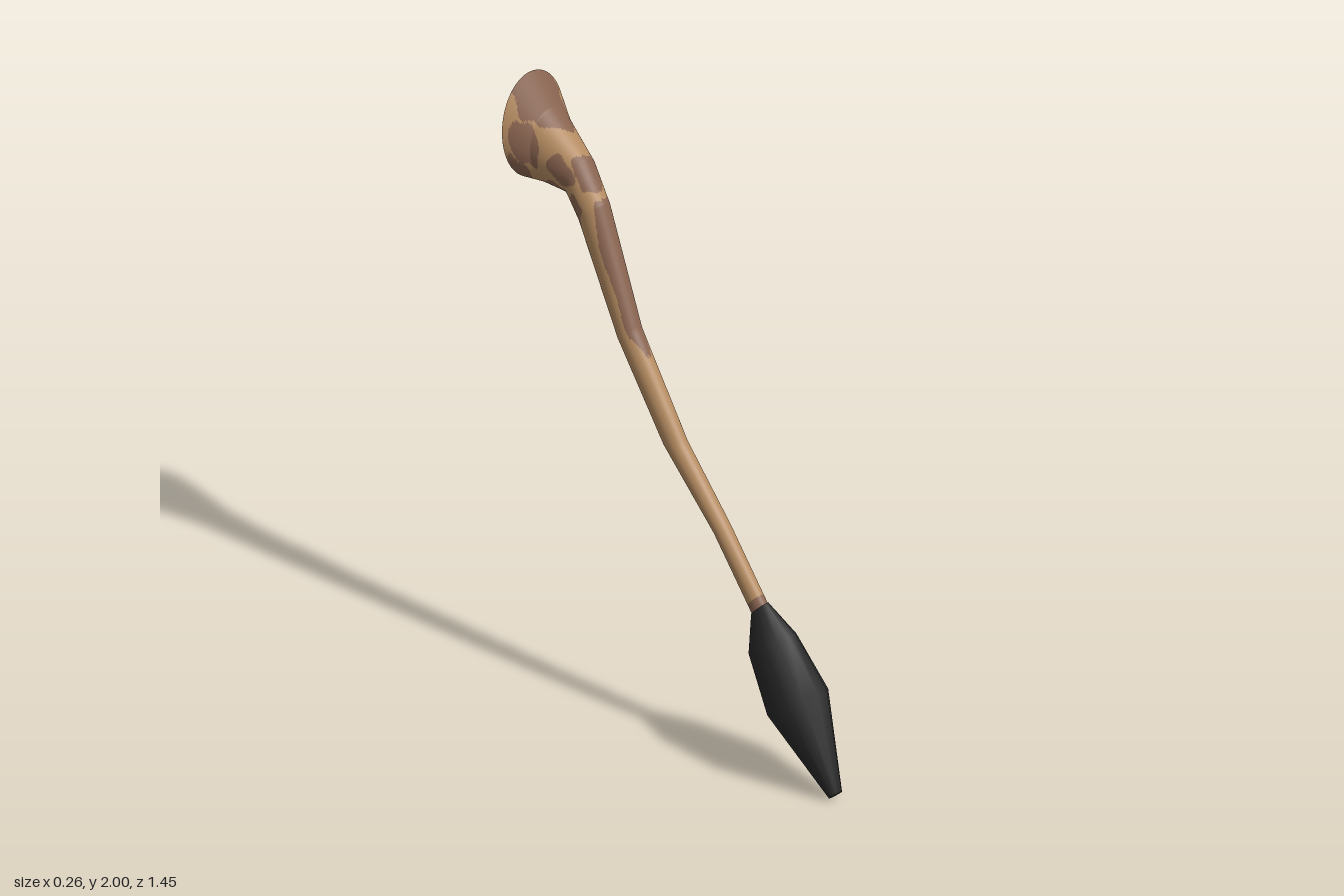
import * as THREE from 'three';

const tan = new THREE.MeshStandardMaterial({ color: 0xb38a60, side: THREE.DoubleSide });
tan.name = 'tan hide';
const brown = new THREE.MeshStandardMaterial({ color: 0x88634f, side: THREE.DoubleSide });
brown.name = 'brown patches';
const black = new THREE.MeshStandardMaterial({ color: 0x272727 });
black.name = 'black hair';

// Each section: top z, top y, bottom z, bottom y, centre x, half width
const tailSections = [
  [0.37, 0.55, 0.326, 0.497, -0.008, 0.027],
  [0.195, 0.762, 0.152, 0.722, -0.01, 0.03],
  [0, 0.972, -0.083, 0.948, -0.01, 0.035],
  [-0.225, 1.285, -0.294, 1.235, -0.004, 0.041],
  [-0.4, 1.65, -0.49, 1.57, 0.015, 0.052],
  [-0.495, 1.77, -0.543, 1.637, 0.022, 0.06],
  [-0.655, 1.885, -0.635, 1.637, 0.02, 0.092],
  [-0.723, 2.0, -0.7, 1.64, 0, 0.13],
];
const tuftSections = [
  [0.728, 0.035, 0.69, 0, -0.022, 0.022],
  [0.62, 0.34, 0.437, 0.205, -0.016, 0.1],
  [0.485, 0.485, 0.336, 0.38, -0.015, 0.077],
  [0.372, 0.557, 0.32, 0.498, -0.008, 0.03],
];

// Patches: angle from the top (degrees), place along sections, half angle, half length
const patches = [
  [5, 3.48, 62, 0.68],
  [0, 4.72, 52, 0.4],
  [0, 6.45, 50, 0.75], [22, 5.9, 30, 0.35],
  [-82, 6.25, 30, 0.5], [85, 6.3, 28, 0.5],
  [78, 5.2, 32, 0.42], [-76, 5.15, 28, 0.38],
  [112, 4.35, 34, 0.3], [-110, 4.3, 34, 0.32],
  [150, 5.4, 28, 0.5], [-150, 5.3, 30, 0.5],
  [180, 4.6, 30, 0.35], [180, 6.45, 28, 0.5],
  [132, 6.6, 20, 0.4], [-130, 6.65, 20, 0.4],
];

function isPatch(deg, s) {
  if (s < 0.12) return true; // dark band where the hair begins
  const a = deg + 5 * Math.sin(s * 9), t = s + 0.05 * Math.sin(deg * 0.11);
  return patches.some(([pa, ps, da, ds]) => {
    const d = ((a - pa + 540) % 360 + 360) % 360 - 180;
    return Math.abs(d / da) ** 2.5 + Math.abs((t - ps) / ds) ** 2.5 < 1;
  });
}

// Skin oval sections with straight spans; faces are sorted into two material groups
function loft(sections, sides, steps, pick, capped) {
  const pos = [], lists = [[], []];
  const rows = (sections.length - 1) * steps;
  for (let r = 0; r <= rows; r++) {
    const i = Math.min(Math.floor(r / steps), sections.length - 2);
    const f = r / steps - i;
    const [tz, ty, bz, by, cx, w] = sections[i].map((v, k) => v + (sections[i + 1][k] - v) * f);
    for (let j = 0; j < sides; j++) {
      const a = (j / sides) * Math.PI * 2, c = Math.cos(a);
      pos.push(cx + w * Math.sin(a), (ty + by) / 2 + c * (ty - by) / 2, (tz + bz) / 2 + c * (tz - bz) / 2);
    }
  }
  for (let r = 0; r < rows; r++) {
    for (let j = 0; j < sides; j++) {
      const k = (j + 1) % sides;
      const a = r * sides + j, b = r * sides + k, c = b + sides, d = a + sides;
      const deg = 360 / sides, s = 1 / steps;
      lists[pick((j + 0.67) * deg, (r + 0.33) * s) ? 1 : 0].push(a, b, c);
      lists[pick((j + 0.33) * deg, (r + 0.67) * s) ? 1 : 0].push(a, c, d);
    }
  }
  if (capped) for (let j = 1; j < sides - 1; j++) lists[0].push(0, j + 1, j);
  const g = new THREE.BufferGeometry();
  g.setAttribute('position', new THREE.Float32BufferAttribute(pos, 3));
  g.setIndex([...lists[0], ...lists[1]]);
  g.addGroup(0, lists[0].length, 0);
  g.addGroup(lists[0].length, lists[1].length, 1);
  g.computeVertexNormals();
  return g;
}

export function createModel() {
  const model = new THREE.Group();
  model.name = 'tail';

  // Patterned tail, flaring to an open root
  const hide = new THREE.Mesh(loft(tailSections, 72, 40, isPatch, false), [tan, brown]);
  hide.name = 'tailHide';

  // Tapered hair tuft
  const tuft = new THREE.Mesh(loft(tuftSections, 12, 1, () => false, true), [black, black]);
  tuft.name = 'hairTuft';

  model.add(hide, tuft);
  return model;
}
